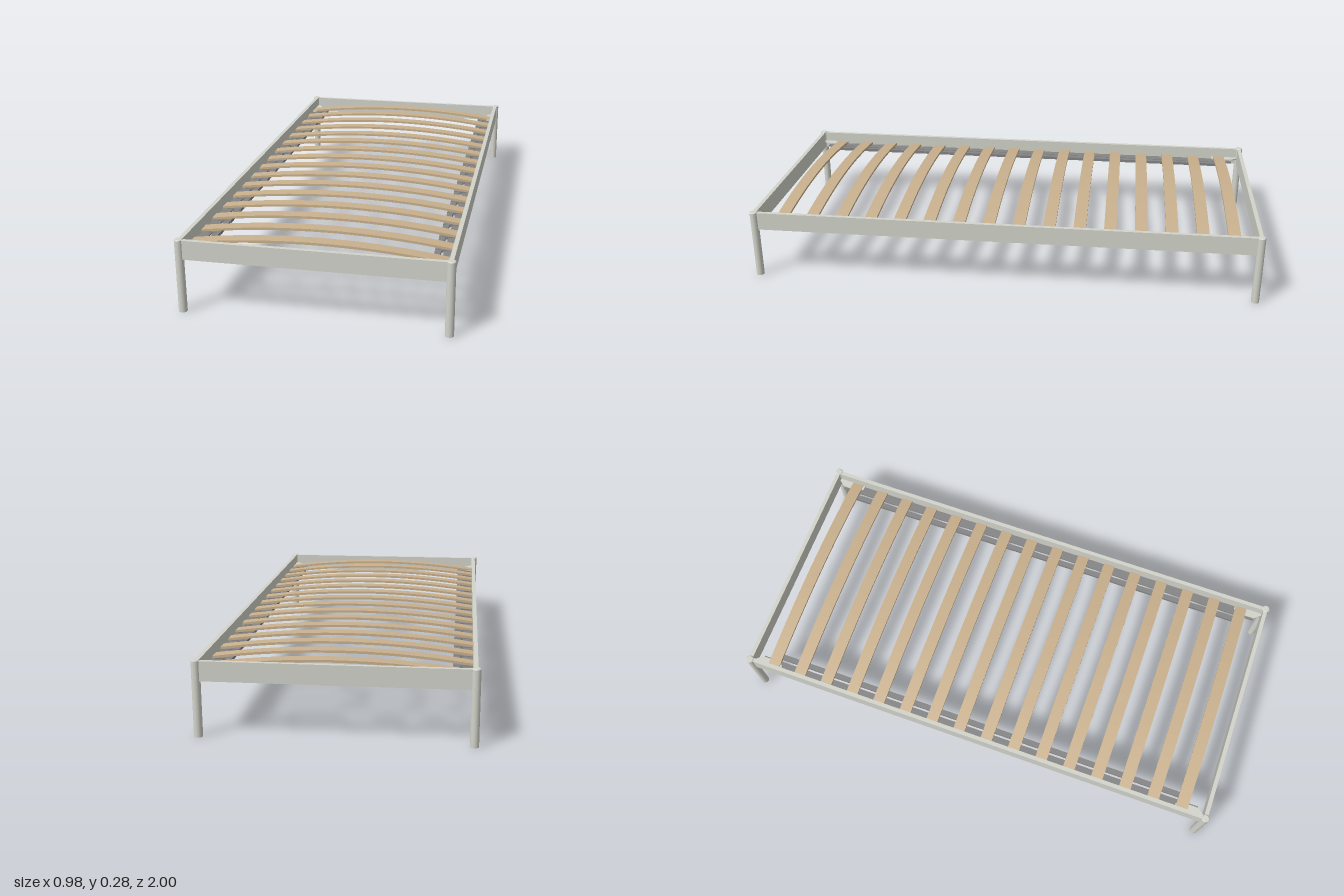
import * as THREE from 'three';

export function createModel() {
  const bed = new THREE.Group();
  bed.name = 'slattedBed';

  const mat = (name, color) => {
    const m = new THREE.MeshStandardMaterial({ color });
    m.name = name;
    return m;
  };
  const paint = mat('paleGreyPaint', 0xd2d3ca);
  const wood = mat('beechWood', 0xc9b18e);
  const steel = mat('darkGreySteel', 0x858585);

  const add = (name, geometry, material, x, y, z) => {
    const mesh = new THREE.Mesh(geometry, material);
    mesh.name = name;
    mesh.position.set(x, y, z);
    bed.add(mesh);
    return mesh;
  };
  const box = (name, w, h, d, material, x, y, z) =>
    add(name, new THREE.BoxGeometry(w, h, d), material, x, y, z);

  const LEG_X = 0.472, LEG_Z = 0.984, LEG_R = 0.0155, TOP = 0.275;

  // Round legs with a softly rounded cap and bolts on the end faces
  const legProfile = [
    [0, 0], [LEG_R, 0], [LEG_R, 0], [LEG_R, TOP - 0.003],
    [LEG_R, TOP - 0.003], [LEG_R - 0.003, TOP], [LEG_R - 0.003, TOP], [0, TOP],
  ].map(([r, y]) => new THREE.Vector2(r, y));
  const legGeometry = new THREE.LatheGeometry(legProfile, 24);
  const boltGeometry = new THREE.CylinderGeometry(0.005, 0.005, 0.004, 12).rotateX(Math.PI / 2);

  // Chamfered plate that ties the rails together inside each corner
  const braceShape = new THREE.Shape([
    [0.464, 0.86], [0.464, 0.976], [0.452, 0.976], [0.432, 0.952], [0.432, 0.875], [0.445, 0.86],
  ].map(([x, z]) => new THREE.Vector2(x, z)));

  for (const sx of [-1, 1]) {
    for (const sz of [-1, 1]) {
      add('leg', legGeometry, paint, sx * LEG_X, 0, sz * LEG_Z);
      for (const y of [0.211, 0.26]) {
        add('legBolt', boltGeometry, paint, sx * LEG_X, y, sz * (LEG_Z + LEG_R - 0.0015));
      }
      const shape = new THREE.Shape(braceShape.getPoints().map(p => new THREE.Vector2(sx * p.x, sz * p.y)));
      const brace = new THREE.ExtrudeGeometry(shape, { depth: 0.006, bevelEnabled: false }).rotateX(Math.PI / 2);
      add('cornerBrace', brace, paint, 0, 0.232, 0);
    }
  }

  // Frame rails between the legs
  for (const s of [-1, 1]) {
    box('sideRail', 0.016, 0.071, 1.946, paint, s * 0.47, 0.2365, 0);
    box('endRail', 0.924, 0.071, 0.016, paint, 0, 0.2365, s * 0.984);
    // Ledge and inner bar that carry the slats
    box('slatLedge', 0.04, 0.006, 1.9, steel, s * 0.445, 0.219, 0);
    box('slatBar', 0.022, 0.012, 1.78, steel, s * 0.404, 0.218, 0);
  }

  // Sprung slats: a shallow arch with constant thickness
  const SEGMENTS = 20, HALF = 0.463, THICK = 0.009, WIDTH = 0.048;
  const arch = x => 0.233 + 0.034 * (1 - (x / HALF) ** 2);
  const top = [], bottom = [];
  for (let i = 0; i <= SEGMENTS; i++) {
    const x = -HALF + (2 * HALF * i) / SEGMENTS;
    top.unshift(new THREE.Vector2(x, arch(x)));
    bottom.push(new THREE.Vector2(x, arch(x) - THICK));
  }
  const slatGeometry = new THREE.ExtrudeGeometry(new THREE.Shape([...bottom, ...top]), {
    depth: WIDTH, bevelEnabled: false,
  }).translate(0, 0, -WIDTH / 2);

  const COUNT = 16;
  for (let i = 0; i < COUNT; i++) {
    const z = -0.893 + (1.78 * i) / (COUNT - 1);
    add('slat', slatGeometry, wood, 0, 0, z);
    // Holders under both slat ends
    for (const s of [-1, 1]) {
      box('slatHolder', 0.07, 0.01, 0.04, steel, s * 0.427, 0.22, z);
    }
  }

  return bed;
}
